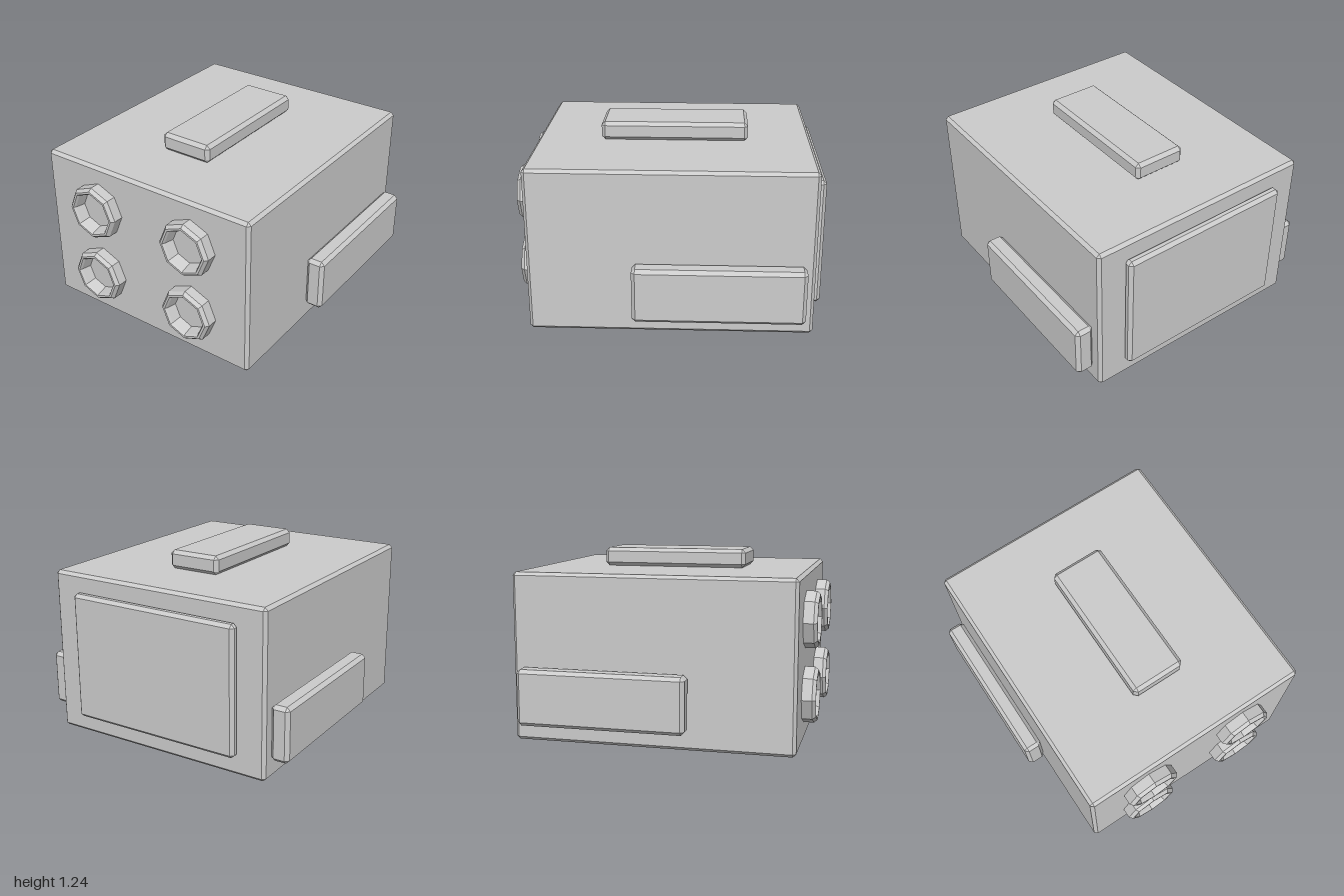
import * as THREE from 'three';
import { ConvexGeometry } from 'three/addons/geometries/ConvexGeometry.js';

const material = new THREE.MeshStandardMaterial({ color: 0xcccccc, flatShading: true });

// Box with chamfered edges, given by its min and max corners
function chamferBox(name, min, max, bevel) {
  const center = min.map((v, i) => (v + max[i]) / 2);
  const half = min.map((v, i) => (max[i] - v) / 2);
  const points = [];
  for (const sx of [-1, 1]) for (const sy of [-1, 1]) for (const sz of [-1, 1]) {
    const sign = [sx, sy, sz];
    // three points per corner, each lying on one of the corner's faces
    for (let face = 0; face < 3; face++) {
      points.push(new THREE.Vector3(...sign.map(
        (s, i) => s * (half[i] - (i === face ? 0 : bevel)))));
    }
  }
  const mesh = new THREE.Mesh(new ConvexGeometry(points), material);
  mesh.name = name;
  mesh.position.set(...center);
  return mesh;
}

// Octagonal socket: chamfered rim, sloping bore and a round floor
function socket(name, x, y) {
  const group = new THREE.Group();
  group.name = name;
  const profile = [
    [0.187, -0.01], [0.187, 0.067], [0.168, 0.09],
    [0.153, 0.09], [0.143, 0.075], [0.126, 0.008],
  ].map(([r, h]) => new THREE.Vector2(r, h));
  const rim = new THREE.Mesh(new THREE.LatheGeometry(profile, 8).rotateX(Math.PI / 2), material);
  rim.name = 'socketRim';
  const floor = new THREE.Mesh(new THREE.CircleGeometry(0.126, 16), material);
  floor.name = 'socketFloor';
  floor.position.z = 0.01;
  group.add(rim, floor);
  group.position.set(x, y, 0.91);
  return group;
}

export function createModel() {
  const model = new THREE.Group();
  model.name = 'box';

  // Main block, top bar and back panel
  model.add(
    chamferBox('body', [-0.8, 0, -0.94], [0.8, 1.11, 0.91], 0.021),
    chamferBox('topBar', [-0.185, 1.11, -0.51], [0.185, 1.235, 0.475], 0.024),
    chamferBox('backPanel', [-0.61, 0.13, -1], [0.61, 0.99, -0.93], 0.022),
  );

  // Side bars
  model.add(
    chamferBox('leftBar', [0.8, 0.125, -0.88], [0.925, 0.495, 0.23], 0.024),
    chamferBox('rightBar', [-0.925, 0.125, -0.88], [-0.8, 0.495, 0.23], 0.024),
  );

  // Two by two sockets on the front
  for (const [side, x] of [['Left', 0.37], ['Right', -0.37]]) {
    for (const [row, y] of [['upper', 0.805], ['lower', 0.31]]) {
      model.add(socket(`${row}${side}Socket`, x, y));
    }
  }
  return model;
}
